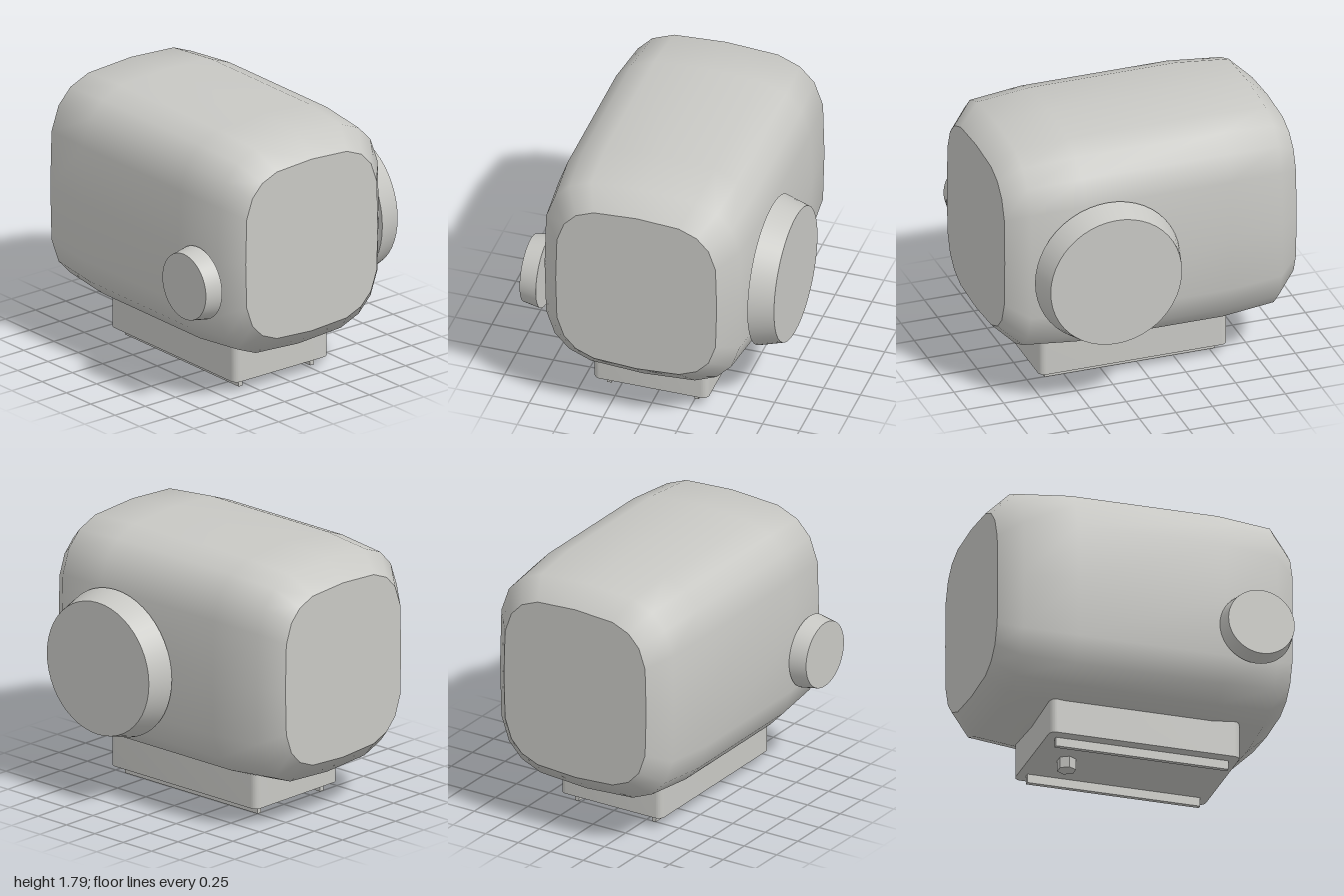
import * as THREE from 'three';
import { toCreasedNormals } from 'three/addons/utils/BufferGeometryUtils.js';

const grey = new THREE.MeshStandardMaterial({ color: 0xc8c8c4 });
grey.name = 'light grey';

// One quadrant of the soft-square cross-section, [z, y], top to side
const quadrant = [[0, 1], [0.528, 0.97], [0.75, 0.886], [0.897, 0.744], [0.985, 0.516], [1, 0]];
const half = [...quadrant, ...quadrant.slice(0, 5).reverse().map(([z, y]) => [z, -y])];
const ring = [...half, ...half.slice(1, -1).reverse().map(([z, y]) => [-z, y])];

// Stations along x: [x, half height, half depth]
const ends = [[0.5, 0.757, 0.7], [0.86, 0.727, 0.667], [1, 0.595, 0.546]];
const stations = [...ends.map(([x, h, d]) => [-x, h, d]).reverse(), ...ends];
const CY = 1.031, CZ = 0.025;

function ringPoints([x, h, d]) {
  return ring.flatMap(([z, y]) => [x, CY + y * h, CZ + z * d]);
}

function geometryFrom(positions, index) {
  const g = new THREE.BufferGeometry();
  g.setAttribute('position', new THREE.Float32BufferAttribute(positions, 3));
  g.setIndex(index);
  g.computeVertexNormals();
  return g;
}

// Smooth skin lofted through the stations
function shellGeometry() {
  const n = ring.length, index = [];
  for (let i = 0; i < stations.length - 1; i++) {
    for (let j = 0; j < n; j++) {
      const k = (j + 1) % n;
      const a = i * n + j, b = i * n + k, c = a + n, d = b + n;
      index.push(a, b, c, b, d, c);
    }
  }
  return geometryFrom(stations.flatMap(ringPoints), index);
}

// Flat end face
function capGeometry(station, side) {
  const n = ring.length, index = [];
  for (let j = 0; j < n; j++) {
    const k = (j + 1) % n;
    index.push(n, side > 0 ? j : k, side > 0 ? k : j);
  }
  return geometryFrom([...ringPoints(station), station[0], CY, CZ], index);
}

// Block with rounded vertical edges
function baseGeometry(x0, x1, z0, z1, y0, y1, r) {
  const s = new THREE.Shape();
  s.moveTo(x0 + r, z0);
  s.lineTo(x1 - r, z0);
  s.absarc(x1 - r, z0 + r, r, -Math.PI / 2, 0);
  s.lineTo(x1, z1 - r);
  s.absarc(x1 - r, z1 - r, r, 0, Math.PI / 2);
  s.lineTo(x0 + r, z1);
  s.absarc(x0 + r, z1 - r, r, Math.PI / 2, Math.PI);
  s.lineTo(x0, z0 + r);
  s.absarc(x0 + r, z0 + r, r, Math.PI, Math.PI * 1.5);
  const g = new THREE.ExtrudeGeometry(s, { depth: y1 - y0, bevelEnabled: false, curveSegments: 6 });
  g.rotateX(Math.PI / 2).translate(0, y1, 0);
  return toCreasedNormals(g, 0.6);
}

export function createModel() {
  const model = new THREE.Group();
  model.name = 'roundedHousing';
  const add = (name, geometry, x = 0, y = 0, z = 0) => {
    const m = new THREE.Mesh(geometry, grey);
    m.name = name;
    m.position.set(x, y, z);
    model.add(m);
    return m;
  };

  // Main housing
  add('housingShell', shellGeometry());
  add('rightEndFace', capGeometry(stations[0], -1));
  add('leftEndFace', capGeometry(stations[stations.length - 1], 1));

  // Tapered discs on the front and back
  add('frontKnob', new THREE.CylinderGeometry(0.224, 0.245, 0.117, 48).rotateX(Math.PI / 2), 0.702, 0.852, 0.782);
  add('backDisc', new THREE.CylinderGeometry(0.45, 0.498, 0.165, 48).rotateX(-Math.PI / 2), 0.352, 0.939, -0.762);

  // Mounting foot with two rails and a hexagonal peg
  add('mountingFoot', baseGeometry(-0.59, 0.7, -0.36, 0.417, 0.075, 0.34, 0.045));
  for (const [name, z] of [['frontRail', 0.325], ['backRail', -0.266]]) {
    add(name, new THREE.BoxGeometry(1.17, 0.063, 0.03), 0.055, 0.0465, z);
  }
  add('hexPeg', new THREE.CylinderGeometry(0.062, 0.062, 0.08, 6).toNonIndexed(), -0.357, 0.04, 0.03)
    .geometry.computeVertexNormals();

  return model;
}
